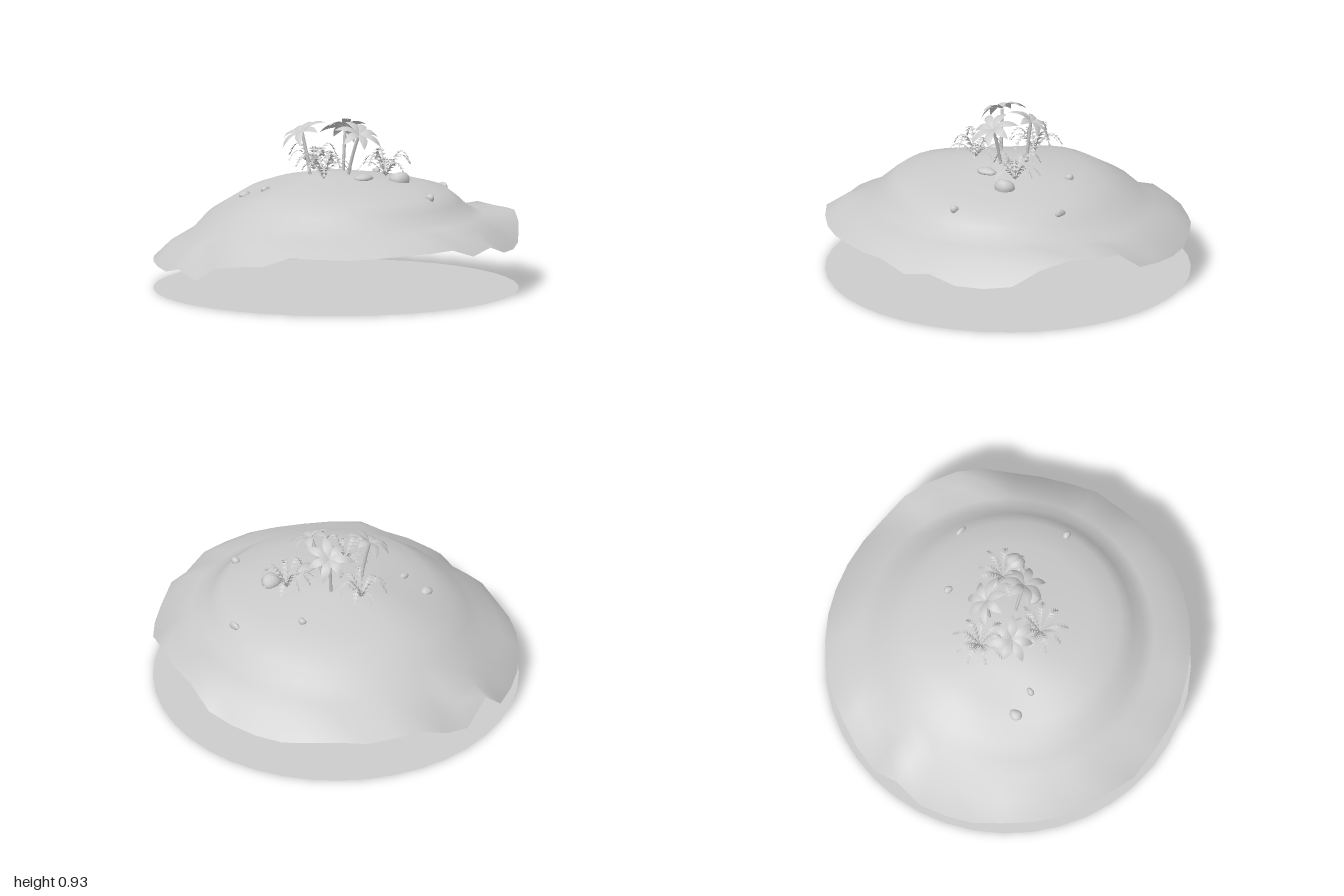
import * as THREE from 'three';
import { mergeGeometries, mergeVertices } from 'three/addons/utils/BufferGeometryUtils.js';

const grey = new THREE.MeshStandardMaterial({ color: 0xcccccc });
const thin = new THREE.MeshStandardMaterial({ color: 0xcccccc, side: THREE.DoubleSide });

// Ragged shore height every 9 degrees, from +x towards +z
const RIM = [
  .33, .325, .325, .315, .31, .315, .32, .265, .25, .225,
  .14, .185, .15, .155, .16, .165, .12, .12, .12, .26,
  .14, .18, .25, .25, .24, .26, .25, .23, .235, .25,
  .27, .38, .39, .40, .36, .27, .255, .26, .31, .28];
// Rings of the hill inside the shore: radius, height, shift along x
const HILL = [[0, .645, 0], [.15, .635, 0], [.3, .61, .01], [.45, .585, .03], [.58, .55, .05],
  [.66, .493, .035], [.73, .438, .01], [.8, .385, 0]];

// Hollow on the front left slope
function hollow(a, r) {
  const side = Math.max(0, Math.cos(a - 2.23));
  return .05 * side ** 6 * THREE.MathUtils.smoothstep(r, .2, .5);
}

function groundY(x, z) {
  const r = Math.hypot(x, z), a = Math.atan2(z, x);
  for (let i = 1; i < HILL.length; i++) {
    const [r0, h0, s0] = HILL[i - 1], [r1, h1, s1] = HILL[i];
    const inner = r0 + s0 * Math.cos(a), outer = r1 + s1 * Math.cos(a);
    if (r <= outer) return THREE.MathUtils.lerp(h0, h1, (r - inner) / (outer - inner)) - hollow(a, r);
  }
  return HILL.at(-1)[1];
}

function add(group, name, geometry, material) {
  const mesh = new THREE.Mesh(geometry, material);
  mesh.name = name;
  group.add(mesh);
  return mesh;
}

// Hill: a lathe whose outer rings follow the shore heights
function islandGeometry() {
  const rings = [[1, 0, 0], [.9, 0, 0], ...[...HILL].reverse()];
  const geo = new THREE.LatheGeometry(rings.map(([r]) => new THREE.Vector2(r, 0)), 40);
  const p = geo.attributes.position;
  for (let i = 0; i < p.count; i++) {
    const ring = i % rings.length, [r, h, shift] = rings[ring];
    const a = Math.atan2(p.getZ(i), p.getX(i));
    const rim = RIM[(Math.round(a / (Math.PI / 20)) + 40) % 40];
    const foot = .385 + .03 * Math.cos(a) - .015 * Math.sin(a) - hollow(a, .8);
    let y = h - hollow(a, r);
    if (ring === 0) y = rim;
    else if (ring === 1) y = Math.min(.41, .5 * (foot + rim) + .025);
    else if (ring === 2) y = foot;
    const reach = r + shift * Math.cos(a);
    p.setXYZ(i, reach * Math.cos(a), y, reach * Math.sin(a));
  }
  geo.deleteAttribute('uv');
  geo.deleteAttribute('normal');
  const welded = mergeVertices(geo, 1e-4);
  welded.computeVertexNormals();
  return welded;
}

// Centre line of an arching leaf, growing along +x
const arc = (t, length, rise, drop) => [length * t, rise * Math.sin(Math.PI * t * .8) - drop * t * t];

// Broad leaf: folded strip with a pointed tip
function broadLeaf(length, width, rise, drop) {
  const steps = 6, pos = [], index = [];
  for (let i = 0; i <= steps; i++) {
    const t = i / steps;
    const [x, y] = arc(t, length, rise, drop);
    const w = i < steps ? width * Math.sin(Math.PI * t) ** .8 : 0;
    pos.push(x, y - w * .25, w, x, y, 0, x, y - w * .25, -w);
    if (i < steps) for (const k of [0, 1]) {
      const a = i * 3 + k;
      index.push(a, a + 3, a + 1, a + 1, a + 3, a + 4);
    }
  }
  return finish(pos, index);
}

// Feathered leaf: narrow rib with paired pointed leaflets
function featherLeaf(length, width, rise, drop) {
  const pairs = 10, pos = [], index = [];
  for (let i = 0; i < pairs; i++) {
    const t = i / pairs;
    const [x0, y0] = arc(t, length, rise, drop);
    const [x1, y1] = arc((i + .8) / pairs, length, rise, drop);
    const w = width * Math.sin(Math.PI * (.15 + .8 * t));
    for (const s of [1, -1]) {
      const n = pos.length / 3;
      pos.push(x0, y0, 0, x1, y1, 0, x1 + w * .4, y1 - w * .2, s * w);
      index.push(...(s > 0 ? [n, n + 2, n + 1] : [n, n + 1, n + 2]));
    }
    const n = pos.length / 3, [x2, y2] = arc((i + 1) / pairs, length, rise, drop);
    pos.push(x0, y0, .003, x0, y0, -.003, x2, y2, .003, x2, y2, -.003);
    index.push(n, n + 2, n + 1, n + 1, n + 2, n + 3);
  }
  return finish(pos, index);
}

function finish(pos, index) {
  const geo = new THREE.BufferGeometry();
  geo.setAttribute('position', new THREE.Float32BufferAttribute(pos, 3));
  geo.setIndex(index);
  geo.computeVertexNormals();
  return geo;
}

// Leaves spread in a ring
function crown(count, leaf, turn) {
  const leaves = [];
  for (let i = 0; i < count; i++) {
    const g = leaf(i);
    g.rotateY(turn + i / count * Math.PI * 2);
    leaves.push(g);
  }
  return mergeGeometries(leaves);
}

// Slender bent trunk with a leaning crown
function palm(base, top, tilt, turn) {
  const g = new THREE.Group();
  g.name = 'palmTree';
  const foot = new THREE.Vector3(base[0], groundY(...base) - .05, base[1]);
  const head = new THREE.Vector3(...top);
  const bend = new THREE.Vector3(foot.x * .7 + head.x * .3, (foot.y + head.y) / 2, foot.z * .7 + head.z * .3);
  const path = new THREE.QuadraticBezierCurve3(foot, bend, head);
  add(g, 'trunk', new THREE.TubeGeometry(path, 8, .009, 7), grey);
  const leaves = add(g, 'palmLeaves',
    crown(7, i => broadLeaf(.14 - .015 * (i % 2), .025, .035, .025 + .012 * (i % 3)), turn), thin);
  leaves.position.copy(head);
  leaves.rotation.set(tilt[0], 0, tilt[1]);
  return g;
}

// Rounded lumpy stone, half sunk in the sand
function rock(x, z, sx, sy, sz, seed) {
  const geo = new THREE.SphereGeometry(1, 12, 8);
  const p = geo.attributes.position;
  for (let i = 0; i < p.count; i++) {
    const px = p.getX(i), py = p.getY(i), pz = p.getZ(i);
    const k = 1 + .12 * Math.sin(3 * px + seed) * Math.cos(2.5 * pz + seed) + .06 * Math.sin(4 * py + seed);
    p.setXYZ(i, px * k * sx, py * k * sy, pz * k * sz);
  }
  geo.deleteAttribute('uv');
  geo.deleteAttribute('normal');
  const welded = mergeVertices(geo, 1e-5);
  welded.computeVertexNormals();
  welded.translate(x, groundY(x, z) + .003, z);
  return welded;
}

export function createModel() {
  const island = new THREE.Group();
  island.name = 'island';

  // Flat water disc under the hill
  const water = new THREE.CircleGeometry(1, 40);
  water.rotateX(-Math.PI / 2);
  add(island, 'waterDisc', water, thin).position.y = .005;

  add(island, 'hill', islandGeometry(), thin);

  // Tall palms, crowns leaning outwards
  island.add(
    palm([-.05, -.09], [-.06, .865, -.115], [-.4, .4], .2),
    palm([.07, -.02], [.155, .865, -.035], [0, -.5], .5),
    palm([-.07, .12], [-.11, .865, .15], [.45, .15], .9));

  // Low feathered bushes
  [[.165, -.215], [-.2, -.01], [.09, .16]].forEach(([x, z], n) => {
    const bush = add(island, 'featherBush',
      crown(9, i => featherLeaf(.155 - .015 * (i % 2), .026, [.09, .15, .12][i % 3], .02), n * .7), thin);
    bush.position.set(x, groundY(x, z) + .005, z);
  });

  // Scattered rocks
  [[.27, -.23, .05, .05, .06], [.2, -.03, .04, .022, .058], [.2, -.59, .038, .02, .016],
   [-.1, -.37, .025, .02, .02], [.6, -.17, .026, .024, .02], [-.31, .39, .03, .022, .036],
   [-.17, .36, .018, .016, .027]].forEach((r, i) => add(island, 'rock', rock(...r, i * 1.7), grey));

  return island;
}
